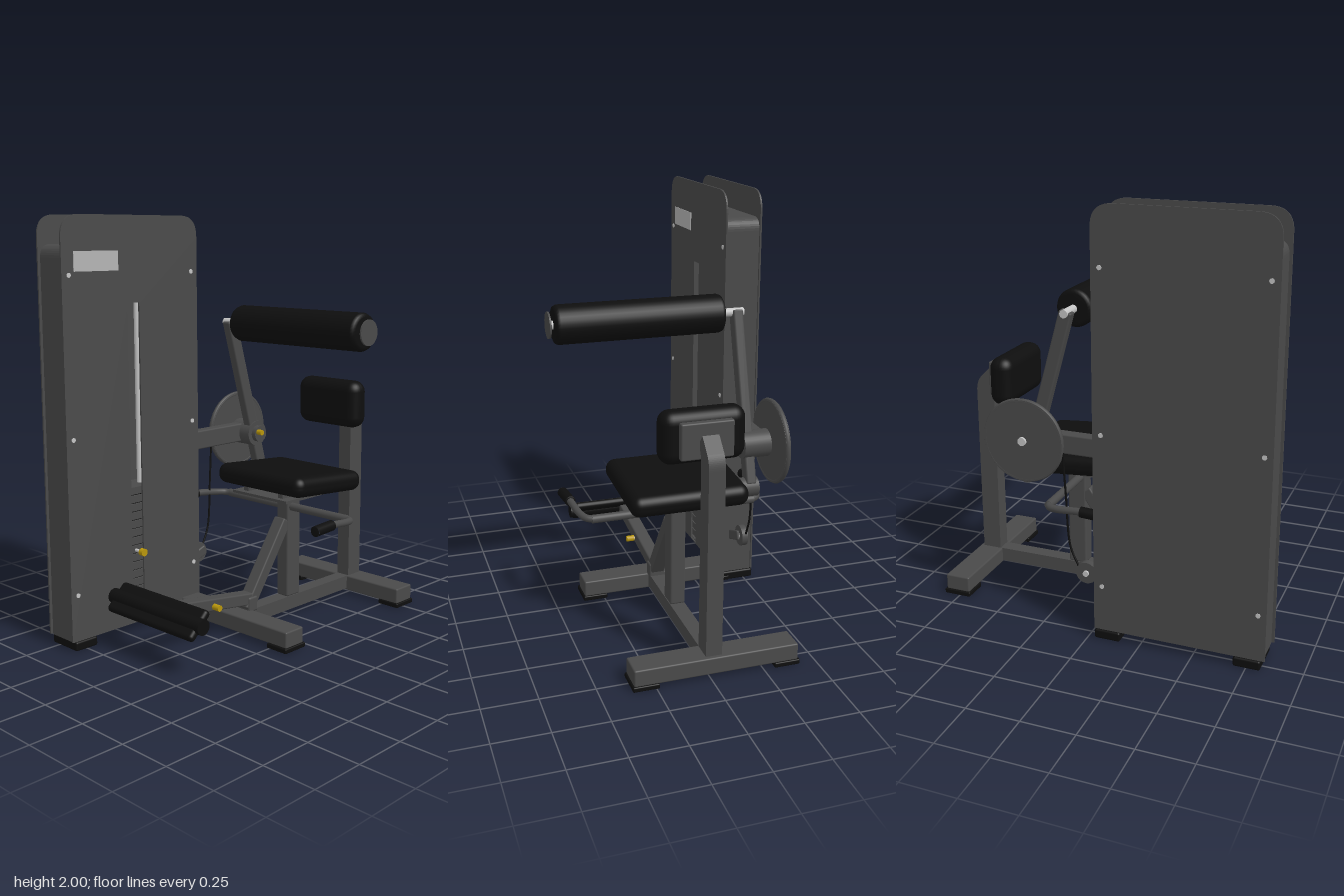
import * as THREE from 'three';
import { RoundedBoxGeometry } from 'three/addons/geometries/RoundedBoxGeometry.js';

const mat = (name, color, side = THREE.FrontSide) => {
  const m = new THREE.MeshStandardMaterial({ color, side });
  m.name = name;
  return m;
};

export function createModel() {
  const root = new THREE.Group();
  root.name = 'backExtensionMachine';
  const frame = mat('frame grey', 0x4a4a4a);
  const black = mat('black vinyl', 0x0e0e0e);
  const steel = mat('bright steel', 0xc4c4c4);
  const yellow = mat('yellow knob', 0xb8960c);
  const label = mat('label grey', 0xb4b4b4);

  const add = (name, geo, material, x = 0, y = 0, z = 0) => {
    const m = new THREE.Mesh(geo, material);
    m.name = name;
    m.position.set(x, y, z);
    root.add(m);
    return m;
  };
  // box given by its limits on each axis, optionally rounded
  const box = (name, material, x0, x1, y0, y1, z0, z1, r = 0) => {
    const s = [x1 - x0, y1 - y0, z1 - z0];
    const geo = r ? new RoundedBoxGeometry(...s, 4, r) : new THREE.BoxGeometry(...s);
    return add(name, geo, material, (x0 + x1) / 2, (y0 + y1) / 2, (z0 + z1) / 2);
  };
  // cylinder lying along x
  const axle = (name, material, x0, x1, y, z, r, seg = 24) => {
    const geo = new THREE.CylinderGeometry(r, r, x1 - x0, seg).rotateZ(Math.PI / 2);
    return add(name, geo, material, (x0 + x1) / 2, y, z);
  };
  // rounded roller along x
  const roller = (name, material, x0, x1, y, z, r, b) => {
    const h = (x1 - x0) / 2;
    const pts = [[0, -h], [r - b, -h], [r - b * 0.3, -h + b * 0.3], [r, -h + b],
      [r, h - b], [r - b * 0.3, h - b * 0.3], [r - b, h], [0, h]];
    const geo = new THREE.LatheGeometry(pts.map(p => new THREE.Vector2(...p)), 32).rotateZ(Math.PI / 2);
    return add(name, geo, material, (x0 + x1) / 2, y, z);
  };
  // rectangular bar between two points [y, z] in the plane at x
  const bar = (name, x, a, b, w, h) => {
    const len = Math.hypot(b[0] - a[0], b[1] - a[1]);
    const m = add(name, new RoundedBoxGeometry(w, h, len, 2, 0.008), frame,
      x, (a[0] + b[0]) / 2, (a[1] + b[1]) / 2);
    m.rotation.x = -Math.atan2(b[0] - a[0], b[1] - a[1]);
    return m;
  };
  // side profile in (z, y), extruded along x from x0 to x1
  const slab = (name, material, shape, x0, x1) => {
    const geo = new THREE.ExtrudeGeometry(shape, { depth: x1 - x0, bevelEnabled: false, curveSegments: 10 });
    return add(name, geo.rotateY(-Math.PI / 2), material, x1);
  };
  const tube = (name, material, pts, r, seg = 32) => {
    const curve = new THREE.CatmullRomCurve3(pts.map(p => new THREE.Vector3(...p)), false, 'centripetal');
    return add(name, new THREE.TubeGeometry(curve, seg, r, 14), material);
  };
  // outline with rounded top corners only
  const arch = (z0, z1, y0, y1, r, T = THREE.Shape) => {
    const s = new T();
    s.moveTo(z0, y0);
    s.lineTo(z1, y0);
    s.lineTo(z1, y1 - r);
    s.quadraticCurveTo(z1, y1, z1 - r, y1);
    s.lineTo(z0 + r, y1);
    s.quadraticCurveTo(z0, y1, z0, y1 - r);
    s.closePath();
    return s;
  };

  // weight tower: two side panels and a shroud between them
  slab('outerPanel', frame, arch(0.03, 0.835, 0.05, 2, 0.1), -0.545, -0.537);
  const inner = arch(0.03, 0.835, 0.05, 2, 0.1);
  inner.holes.push(arch(0.398, 0.468, 0.055, 1.6, 0.004, THREE.Path));
  slab('innerPanel', frame, inner, -0.373, -0.365);
  const shroud = arch(0.04, 0.822, 0.045, 1.87, 0.06);
  shroud.holes.push(arch(0.07, 0.79, 0.06, 1.84, 0.04, THREE.Path));
  slab('towerShroud', frame, shroud, -0.537, -0.373);
  box('towerLabel', label, -0.366, -0.362, 1.75, 1.84, 0.52, 0.77);
  for (const z of [0.07, 0.797]) for (const y of [0.27, 1.0, 1.735])
    for (const x of [-0.548, -0.366]) axle('panelScrew', steel, x, x + 0.004, y, z, 0.011, 12);
  for (const z of [0.03, 0.69]) box('towerFoot', black, -0.548, -0.365, 0, 0.045, z, z + 0.125, 0.01);

  // weight stack, guide rods and selector pin
  for (let i = 0; i < 16; i++)
    box('weightPlate', frame, -0.52, -0.385, 0.06 + i * 0.0415, 0.095 + i * 0.0415, 0.26, 0.61);
  box('stackCore', black, -0.51, -0.395, 0.06, 0.71, 0.27, 0.6);
  for (const z of [0.34, 0.526])
    add('guideRod', new THREE.CylinderGeometry(0.014, 0.014, 1.78, 14), steel, -0.455, 0.95, z);
  add('liftCable', new THREE.CylinderGeometry(0.006, 0.006, 1.12, 10), black, -0.455, 1.28, 0.433);
  axle('selectorPin', steel, -0.4, -0.34, 0.405, 0.43, 0.008);
  axle('selectorKnob', yellow, -0.345, -0.32, 0.405, 0.43, 0.018);

  // floor frame
  box('frontCrossbar', frame, -0.37, 0.35, 0.02, 0.1, 0.035, 0.155, 0.008);
  box('rearCrossbar', frame, -0.415, 0.35, 0.02, 0.1, -0.825, -0.7, 0.008);
  box('spineBeam', frame, -0.055, 0.017, 0.03, 0.1, -0.71, 0.045);
  for (const [x, z] of [[0.235, 0.028], [0.235, -0.832], [-0.423, -0.832], [-0.42, 0.028]])
    box('crossbarFoot', black, x, x + 0.122, 0, 0.024, z, z + 0.138, 0.006);

  // seat post, diagonal strut and seat
  box('seatPost', frame, -0.057, 0.018, 0.1, 0.645, -0.315, -0.22, 0.01);
  bar('diagonalStrut', -0.02, [0.1, 0.05], [0.5, -0.225], 0.07, 0.06);
  const seat = add('seatPad', new RoundedBoxGeometry(0.56, 0.1, 0.485, 5, 0.045), black, -0.02, 0.714, -0.27);
  seat.rotation.x = -0.075;
  box('seatPlate', frame, -0.2, 0.16, 0.641, 0.654, -0.34, -0.05);
  for (const x of [-0.15, 0.08]) box('seatRail', frame, x, x + 0.03, 0.645, 0.675, -0.46, -0.08);

  // rear post bending forward into the back pad
  const post = new THREE.Shape();
  post.moveTo(-0.805, 0.1);
  post.lineTo(-0.71, 0.1);
  post.lineTo(-0.71, 0.975);
  post.quadraticCurveTo(-0.71, 1.0, -0.68, 1.045);
  post.lineTo(-0.72, 1.093);
  post.lineTo(-0.782, 1.03);
  post.quadraticCurveTo(-0.805, 1.0, -0.805, 0.96);
  post.closePath();
  slab('rearPost', frame, post, -0.057, 0.018);
  box('backPadPlate', frame, -0.14, 0.1, 0.975, 1.14, -0.69, -0.655, 0.008);
  box('backPad', black, -0.215, 0.175, 0.94, 1.18, -0.66, -0.54, 0.055);

  // side handles, mirrored about the seat centre line
  const cx = -0.02;
  axle('handleCrossbar', frame, cx - 0.4, cx + 0.4, 0.568, -0.25, 0.02);
  for (const s of [1, -1]) {
    const p = (x, y, z) => [cx + s * x, y, z];
    tube('handleTube', frame, [p(0.39, 0.568, -0.25), p(0.42, 0.57, -0.235), p(0.44, 0.575, -0.19),
      p(0.455, 0.588, -0.06), p(0.463, 0.587, 0.05)], 0.017);
    tube('handleGrip', black, [p(0.455, 0.588, -0.06), p(0.463, 0.585, 0.068)], 0.025, 4);
    for (const [x, y, z] of [p(0.455, 0.588, -0.06), p(0.463, 0.585, 0.068)])
      add('gripCap', new THREE.SphereGeometry(0.025, 14, 8).scale(1, 1, 0.15), black, x, y, z);
  }

  // pivot bracket, cam wheel and lever arm
  box('pivotBracket', frame, -0.437, -0.378, 0.842, 0.937, -0.36, 0.035, 0.008);
  axle('camWheel', frame, -0.475, -0.452, 0.893, -0.345, 0.195, 48);
  const rim = add('camRim', new THREE.TorusGeometry(0.188, 0.013, 8, 48), frame, -0.463, 0.893, -0.345);
  rim.rotation.y = Math.PI / 2;
  axle('pivotHub', frame, -0.44, -0.31, 0.888, -0.342, 0.065, 32);
  axle('pivotCap', frame, -0.31, -0.285, 0.888, -0.342, 0.042);
  axle('pivotBolt', steel, -0.487, -0.475, 0.893, -0.345, 0.02);
  axle('pivotKnob', yellow, -0.287, -0.255, 0.9, -0.322, 0.014);
  bar('leverArm', -0.341, [0.71, -0.39], [1.485, -0.172], 0.048, 0.062);
  axle('counterweight', frame, -0.378, -0.295, 0.692, -0.38, 0.046);

  // upper roller pad
  axle('rollerRod', steel, -0.375, -0.26, 1.477, -0.175, 0.019);
  roller('rollerPad', black, -0.265, 0.52, 1.477, -0.175, 0.089, 0.02);
  axle('rollerStub', steel, 0.515, 0.54, 1.477, -0.175, 0.02);
  axle('rollerEndDisc', frame, 0.536, 0.544, 1.477, -0.175, 0.06, 32);

  // cable from the cam to the lower pulley
  tube('driveCable', black, [[-0.46, 0.86, -0.152], [-0.46, 0.65, -0.14], [-0.46, 0.4, -0.122], [-0.46, 0.3, -0.08]], 0.005);
  axle('lowerPulley', frame, -0.47, -0.44, 0.28, -0.04, 0.052, 28);
  axle('pulleyBolt', steel, -0.48, -0.43, 0.28, -0.04, 0.014);
  bar('pulleyBracket', -0.425, [0.25, 0.05], [0.295, -0.07], 0.015, 0.05);

  // foot lever, tilted foot pad and adjuster knob
  box('footLeverMount', frame, -0.06, 0.022, 0.09, 0.165, 0.0, 0.06, 0.01);
  bar('footLever', -0.02, [0.15, 0.02], [0.232, 0.61], 0.068, 0.06);
  axle('footAxle', black, -0.325, 0.285, 0.236, 0.617, 0.036);
  const pad = add('footPad', new RoundedBoxGeometry(0.575, 0.04, 0.155, 4, 0.018), black, -0.02, 0.236, 0.617);
  pad.rotation.x = Math.PI / 4;
  axle('adjusterPin', steel, 0.01, 0.035, 0.182, 0.295, 0.009);
  axle('adjusterKnob', yellow, 0.018, 0.057, 0.182, 0.295, 0.015);

  return root;
}
